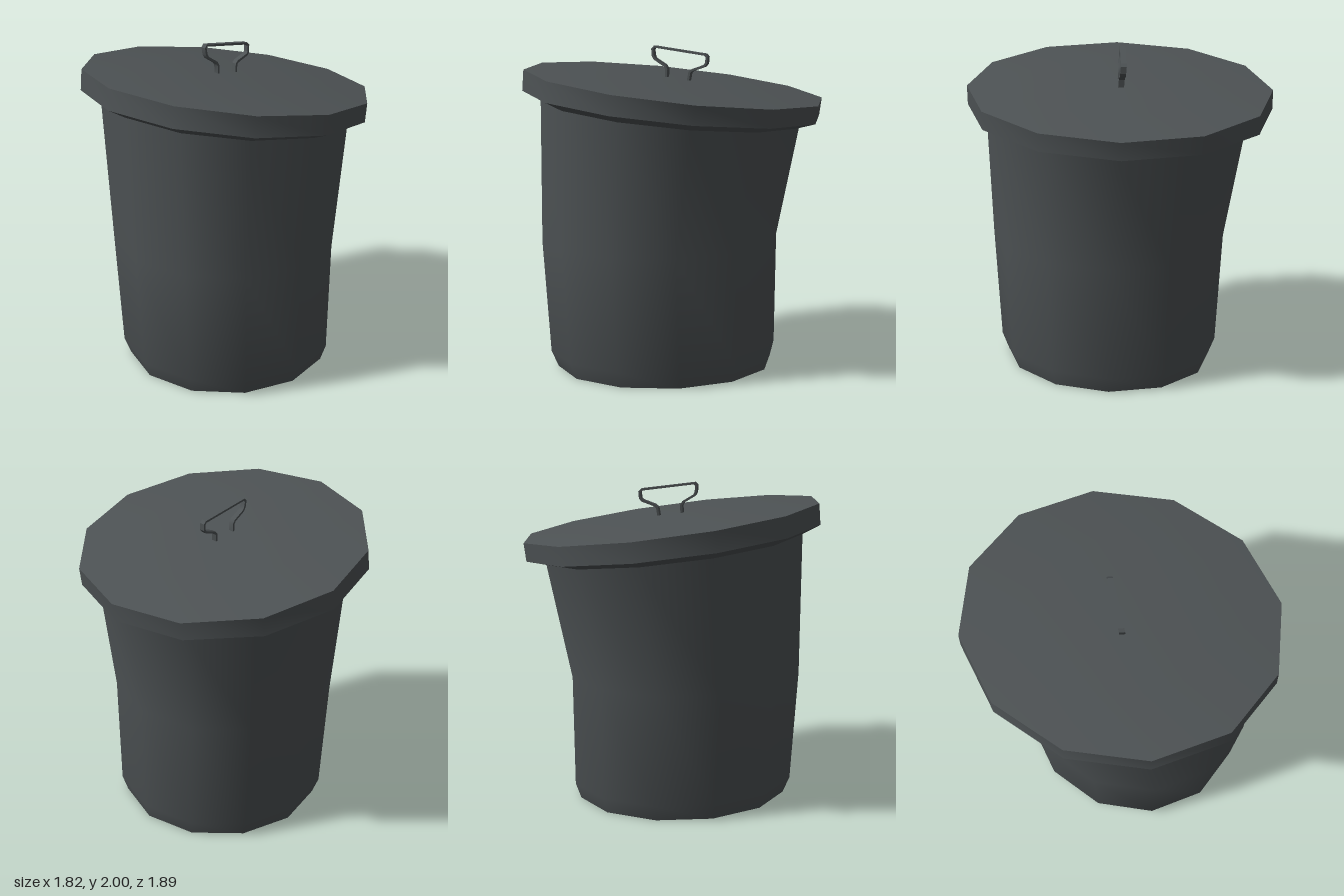
import * as THREE from 'three';
import { toCreasedNormals } from 'three/addons/utils/BufferGeometryUtils.js';

const SIDES = 12;
const SHEAR = 0.083;
const material = new THREE.MeshStandardMaterial({ color: 0x4d5254, side: THREE.DoubleSide });

// A tilted, slightly skewed ring: centre, radii, and fall in y per unit of x
function ring([cx, cy, cz, rx, rz, tilt = 0]) {
  return Array.from({ length: SIDES }, (_, i) => {
    const a = (i / SIDES) * Math.PI * 2;
    const x = rx * Math.cos(a);
    return [cx + x, cy - tilt * x, cz + rz * Math.sin(a) - SHEAR * x];
  });
}

// Skin consecutive rings; a ring of zero radius closes the end
function loft(name, sections) {
  const pos = [];
  for (let s = 0; s < sections.length - 1; s++) {
    const a = ring(sections[s]), b = ring(sections[s + 1]);
    for (let i = 0; i < SIDES; i++) {
      const j = (i + 1) % SIDES;
      if (sections[s + 1][3] > 0) pos.push(...a[i], ...b[i], ...b[j]);
      if (sections[s][3] > 0) pos.push(...a[i], ...b[j], ...a[j]);
    }
  }
  const geometry = new THREE.BufferGeometry();
  geometry.setAttribute('position', new THREE.Float32BufferAttribute(pos, 3));
  const mesh = new THREE.Mesh(toCreasedNormals(geometry, 0.75), material);
  mesh.name = name;
  return mesh;
}

// Flat metal strip bent along a path in x and y
function strip(name, path, thickness, width) {
  const pts = path.map(([x, y]) => new THREE.Vector2(x, y));
  const side = (sign) => pts.map((p, i) => {
    const d0 = p.clone().sub(pts[Math.max(i - 1, 0)]).normalize();
    const d1 = pts[Math.min(i + 1, pts.length - 1)].clone().sub(p).normalize();
    const d = d0.add(d1).normalize();
    return new THREE.Vector2(p.x - d.y * sign * thickness / 2, p.y + d.x * sign * thickness / 2);
  });
  const shape = new THREE.Shape([...side(1), ...side(-1).reverse()]);
  const geometry = new THREE.ExtrudeGeometry(shape, { depth: width, bevelEnabled: false });
  // Turn the strip a little and lean it backwards
  const p = geometry.attributes.position;
  for (let i = 0; i < p.count; i++) {
    const x = p.getX(i), y = p.getY(i);
    p.setZ(i, p.getZ(i) - width / 2 - 0.012 - 0.1 * x - 0.08 * (y - 1.8));
  }
  const mesh = new THREE.Mesh(toCreasedNormals(geometry, 0.6), material);
  mesh.name = name;
  return mesh;
}

export function createModel() {
  const group = new THREE.Group();
  group.name = 'trashCan';

  const rim = [-0.01, 1.6, 0.015, 0.79, 0.815, 0.112];

  // Bent tapering container with a chamfered foot
  group.add(loft('container', [
    [-0.043, 0, 0.075, 0, 0],
    [-0.043, 0, 0.075, 0.655, 0.655],
    [-0.047, 0.1, 0.075, 0.693, 0.695],
    [-0.067, 0.8, 0.075, 0.718, 0.735],
    rim,
  ]));

  // Tilted lid: sloping underside, skirt and shallow domed top
  group.add(loft('lid', [
    rim,
    [-0.01, 1.645, 0, 0.9, 0.945, 0.117],
    [0.003, 1.765, 0, 0.903, 0.945, 0.128],
    [0.02, 1.796, 0, 0.53, 0.55, 0.137],
    [0.02, 1.796, 0, 0, 0],
  ]));

  // Strip handle with splayed legs
  group.add(strip('handle', [
    [-0.062, 1.79], [-0.06, 1.855], [-0.072, 1.876], [-0.14, 1.918], [-0.151, 1.938],
    [-0.156, 1.978], [-0.143, 1.993], [0.184, 1.948], [0.198, 1.934],
    [0.195, 1.895], [0.182, 1.879], [0.105, 1.851], [0.09, 1.837], [0.08, 1.77],
  ], 0.014, 0.036));

  return group;
}
